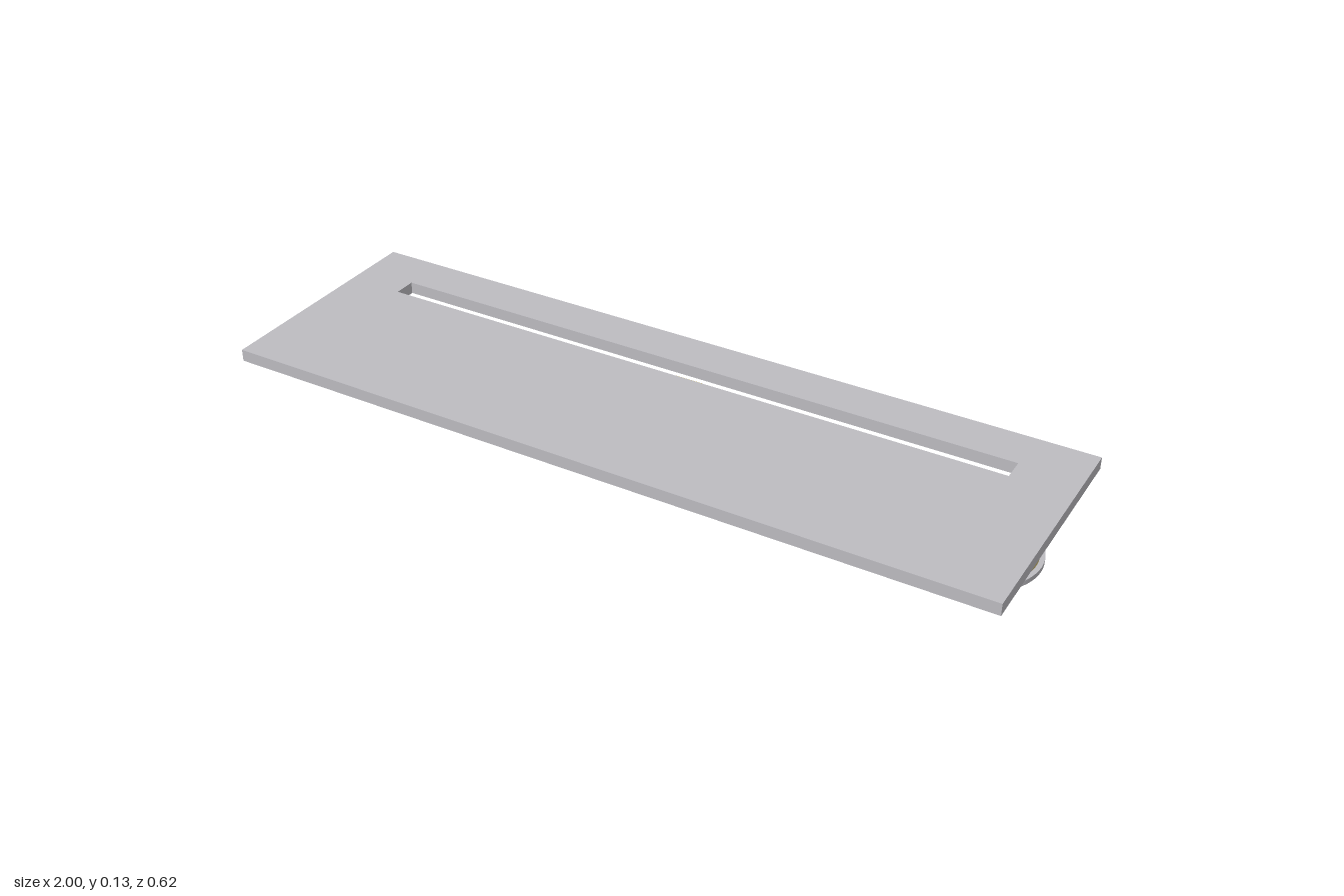
import * as THREE from 'three';
import { toCreasedNormals } from 'three/addons/utils/BufferGeometryUtils.js';

const SPAN = 0.845;   // distance between pulley centres
const PITCH = SPAN / 8;
const BELT_R = 0.13, BELT_INNER = 0.11, TOOTH = 0.035;
const BELT_BOTTOM = 0.013, BELT_TOP = 0.089;
const BELT_H = BELT_TOP - BELT_BOTTOM, BELT_MID = (BELT_TOP + BELT_BOTTOM) / 2;

// Outline with two straight runs and round ends
function stadium(target, r) {
  target.moveTo(-SPAN, -r);
  target.lineTo(SPAN, -r);
  target.absarc(SPAN, 0, r, -Math.PI / 2, Math.PI / 2, false);
  target.lineTo(-SPAN, r);
  target.absarc(-SPAN, 0, r, Math.PI / 2, Math.PI * 1.5, false);
  return target;
}

function rectangle(target, x0, x1, z0, z1) {
  target.moveTo(x0, z0);
  target.lineTo(x1, z0);
  target.lineTo(x1, z1);
  target.lineTo(x0, z1);
  target.closePath();
  return target;
}

// Horizontal slab whose shape's y becomes the model's z
function slab(shape, bottom, top) {
  const g = new THREE.ExtrudeGeometry(shape, { depth: top - bottom, bevelEnabled: false, curveSegments: 32 });
  g.rotateX(Math.PI / 2);
  g.translate(0, top, 0);
  return toCreasedNormals(g, 0.5);
}

export function createModel() {
  const steel = new THREE.MeshStandardMaterial({ color: 0xbdbcc1 });
  steel.name = 'steel grey';
  const gold = new THREE.MeshStandardMaterial({ color: 0xcbb668 });
  gold.name = 'belt gold';

  const model = new THREE.Group();
  model.name = 'slottedBeltDrive';
  const add = (parent, name, geometry, material, x = 0, y = 0, z = 0) => {
    const mesh = new THREE.Mesh(geometry, material);
    mesh.name = name;
    mesh.position.set(x, y, z);
    parent.add(mesh);
    return mesh;
  };

  // Cover plate with a long slot near the back
  const plate = rectangle(new THREE.Shape(), -1, 1, -0.308, 0.308);
  plate.holes.push(rectangle(new THREE.Path(), -0.85, 0.845, -0.19, -0.131));
  add(model, 'coverPlate', slab(plate, 0.097, 0.128), steel);

  const drive = new THREE.Group();
  drive.name = 'drive';
  drive.position.x = -0.003;
  model.add(drive);

  // Belt loop and the slider tab that shows through the slot
  const loop = stadium(new THREE.Shape(), BELT_R);
  loop.holes.push(stadium(new THREE.Path(), BELT_INNER));
  add(drive, 'belt', slab(loop, BELT_BOTTOM, BELT_TOP), gold);
  add(drive, 'sliderTab', new THREE.BoxGeometry(0.072, BELT_H, 0.064), gold, 0, BELT_MID, -0.156);

  // Inner teeth on the straight runs
  const toothShape = new THREE.Shape();
  toothShape.moveTo(-0.028, 0.004);
  toothShape.lineTo(-0.02, -TOOTH);
  toothShape.lineTo(0.02, -TOOTH);
  toothShape.lineTo(0.028, 0.004);
  toothShape.closePath();
  const tooth = slab(toothShape, BELT_BOTTOM, BELT_TOP);
  for (let i = -8; i <= 8; i++) {
    add(drive, 'beltTooth', tooth, gold, i * PITCH, 0, BELT_INNER);
    add(drive, 'beltTooth', tooth, gold, i * PITCH, 0, -BELT_INNER).rotation.y = Math.PI;
  }

  // Inner teeth around the two end curves
  for (const side of [-1, 1]) {
    for (let k = 1; k <= 3; k++) {
      const a = side * k * Math.PI / 4;
      const t = add(drive, 'beltTooth', tooth, gold,
        side * SPAN + Math.sin(a) * BELT_INNER, 0, Math.cos(a) * BELT_INNER);
      t.rotation.y = a;
    }
  }

  // Pulley outline with eight lobes that sit between the belt teeth
  const gear = new THREE.Shape();
  for (let k = 0; k < 8; k++) {
    const a = (k + 0.5) * Math.PI / 4;
    for (const [da, r] of [[-0.3, 0.073], [-0.15, 0.106], [0.15, 0.106], [0.3, 0.073]]) {
      const x = Math.cos(a + da) * r, z = Math.sin(a + da) * r;
      if (k === 0 && da === -0.3) gear.moveTo(x, z);
      else gear.lineTo(x, z);
    }
  }
  gear.closePath();
  const gearGeometry = slab(gear, BELT_BOTTOM, BELT_TOP);
  const flange = new THREE.CylinderGeometry(0.142, 0.142, BELT_BOTTOM, 64);
  const hub = new THREE.CylinderGeometry(0.069, 0.069, 0.006, 48);
  for (const x of [-SPAN, 0, SPAN]) {
    const pulley = new THREE.Group();
    pulley.name = 'pulley';
    pulley.position.x = x;
    drive.add(pulley);
    add(pulley, 'pulleyGear', gearGeometry, steel);
    add(pulley, 'pulleyFlange', flange, steel, 0, BELT_BOTTOM / 2, 0);
    add(pulley, 'pulleyHub', hub, steel, 0, 0.09, 0);
  }
  return model;
}
